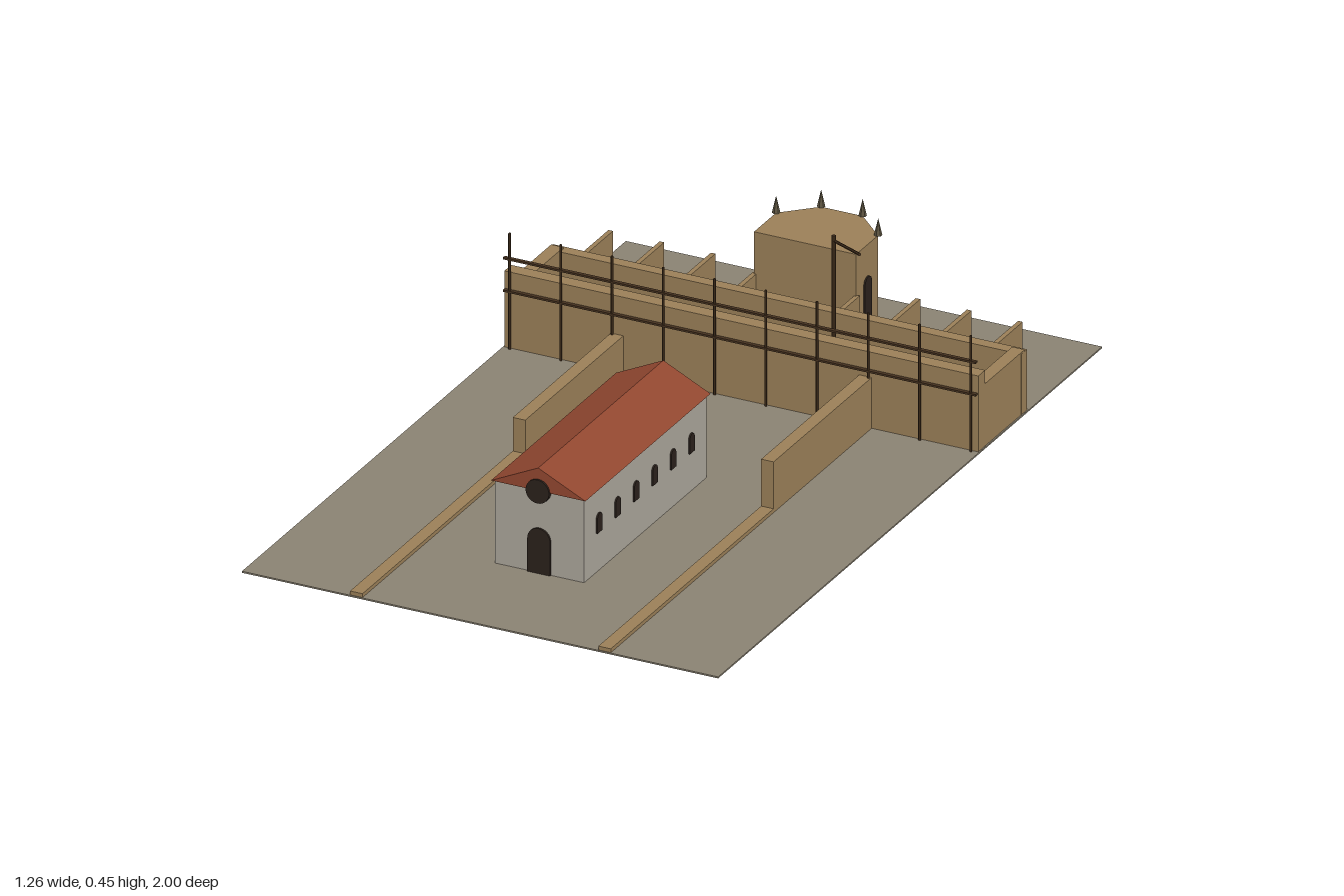
import * as THREE from 'three';

const mat = (color) => new THREE.MeshStandardMaterial({ color, flatShading: true });
const stone = mat(0x9a7f58), earth = mat(0x8a8272), plaster = mat(0xaaa59a);
const tile = mat(0x924730), dark = mat(0x2a211b), wood = mat(0x46321f), slate = mat(0x5c5340);

function add(parent, name, geometry, material, x = 0, y = 0, z = 0) {
  const mesh = new THREE.Mesh(geometry, material);
  mesh.name = name;
  mesh.position.set(x, y, z);
  parent.add(mesh);
  return mesh;
}

// Box given by its min and max along each axis
function block(parent, name, material, x0, x1, y0, y1, z0, z1) {
  return add(parent, name, new THREE.BoxGeometry(x1 - x0, y1 - y0, z1 - z0), material,
    (x0 + x1) / 2, (y0 + y1) / 2, (z0 + z1) / 2);
}

function group(parent, name) {
  const g = new THREE.Group();
  g.name = name;
  parent.add(g);
  return g;
}

// Round-arched panel, base at y = 0, facing +z and centred in depth
function archGeometry(width, height, depth) {
  const r = width / 2, s = new THREE.Shape();
  s.moveTo(-r, 0);
  s.lineTo(r, 0);
  s.lineTo(r, height - r);
  s.absarc(0, height - r, r, 0, Math.PI, false);
  s.closePath();
  return new THREE.ExtrudeGeometry(s, { depth, bevelEnabled: false, curveSegments: 10 })
    .translate(0, 0, -depth / 2);
}

// Straight round pole between two points
function pole(parent, name, a, b, radius) {
  const d = b.clone().sub(a);
  const m = add(parent, name, new THREE.CylinderGeometry(radius, radius, d.length(), 6), wood);
  m.position.copy(a).add(b).multiplyScalar(0.5);
  m.quaternion.setFromUnitVectors(new THREE.Vector3(0, 1, 0), d.normalize());
}

export function createModel() {
  const model = new THREE.Group();
  model.name = 'churchBuildingSite';
  const G = 0.004;
  block(model, 'ground', earth, -0.63, 0.63, 0, G, -1, 1);

  // Old chapel
  const chapel = group(model, 'chapel');
  block(chapel, 'chapelWalls', plaster, -0.118, 0.118, G, 0.224, 0.052, 0.69);
  const gable = new THREE.Shape([
    new THREE.Vector2(-0.125, 0.222), new THREE.Vector2(0.125, 0.222), new THREE.Vector2(0, 0.282)]);
  add(chapel, 'chapelRoof', new THREE.ExtrudeGeometry(gable, { depth: 0.652, bevelEnabled: false }),
    tile, 0, 0, 0.045);
  add(chapel, 'chapelDoor', archGeometry(0.06, 0.118, 0.01), dark, 0, G, 0.69);
  const rose = add(chapel, 'roseWindow', new THREE.CylinderGeometry(0.031, 0.031, 0.014, 24), dark, 0, 0.222, 0.695);
  rose.rotation.x = Math.PI / 2;
  for (const side of [-1, 1]) for (let i = 0; i < 6; i++) {
    const w = add(chapel, 'chapelWindow', archGeometry(0.025, 0.05, 0.008), dark, side * 0.118, 0.106, 0.134 + i * 0.0962);
    w.rotation.y = Math.PI / 2;
  }

  // Unfinished nave walls: foundations in front, raised parts behind
  const nave = group(model, 'naveWalls');
  for (const side of [-1, 1]) {
    const a = side < 0 ? -0.345 : 0.312, b = a + 0.033;
    block(nave, 'naveFoundation', stone, a, b, G, 0.014, 0.15, 0.998);
    block(nave, 'naveWall', stone, a, b, G, side < 0 ? 0.102 : 0.137, -0.365, 0.15);
  }

  // Transept enclosure
  const transept = group(model, 'transept');
  block(transept, 'transeptFrontWall', stone, -0.627, 0.627, G, 0.203, -0.397, -0.361);
  block(transept, 'transeptBackWall', stone, -0.627, 0.627, G, 0.163, -0.615, -0.585);
  for (const side of [-1, 1]) {
    const w = block(transept, 'transeptEndWall', stone, -0.0165, 0.0165, G, 0.167, -0.604, -0.396);
    w.position.x = side * 0.61;
    // Chapel partitions behind the back wall
    for (let i = 1; i <= 4; i++) {
      const p = block(transept, 'partitionWall', stone, -0.006, 0.006, G, 0.16, i === 1 ? -0.70 : -0.748, -0.612);
      p.position.x = side * i * 0.1355;
    }
  }

  // Polygonal apse
  const apse = group(model, 'apse');
  const plan = [[0.135, -0.693], [0.135, -0.808], [0.055, -0.885], [-0.055, -0.885], [-0.135, -0.808], [-0.135, -0.693]];
  const apseShape = new THREE.Shape(plan.map(([x, z]) => new THREE.Vector2(x, -z)));
  add(apse, 'apseBody', new THREE.ExtrudeGeometry(apseShape, { depth: 0.27 - G, bevelEnabled: false })
    .rotateX(-Math.PI / 2), stone, 0, G, 0);
  for (let i = 0; i < 5; i++) {
    const [x0, z0] = plan[i], [x1, z1] = plan[i + 1];
    const w = add(apse, 'apseWindow', archGeometry(0.036, 0.13, 0.008), dark, (x0 + x1) / 2, 0.058, (z0 + z1) / 2);
    w.rotation.y = Math.atan2(z0 - z1, x1 - x0);
  }
  for (const [x, z] of plan.slice(1, 5)) {
    add(apse, 'pinnacle', new THREE.ConeGeometry(0.01, 0.044, 6), slate, x, 0.293, z);
  }

  // Scaffold along the transept front
  const scaffold = group(model, 'scaffold');
  for (let i = 0; i < 10; i++) {
    const x = -0.61 + i * 0.1356;
    pole(scaffold, 'scaffoldPole', new THREE.Vector3(x, G, -0.355), new THREE.Vector3(x, 0.308, -0.355), 0.0032);
  }
  for (const y of [0.156, 0.241]) {
    block(scaffold, 'scaffoldRail', wood, -0.625, 0.625, y - 0.0025, y + 0.0025, -0.36, -0.35);
  }

  // Builder's crane
  const crane = group(model, 'crane');
  pole(crane, 'craneMast', new THREE.Vector3(0.17, G, -0.508), new THREE.Vector3(0.17, 0.408, -0.508), 0.005);
  pole(crane, 'craneBoom', new THREE.Vector3(0.167, 0.39, -0.515), new THREE.Vector3(0.305, 0.444, -0.377), 0.0038);
  return model;
}
